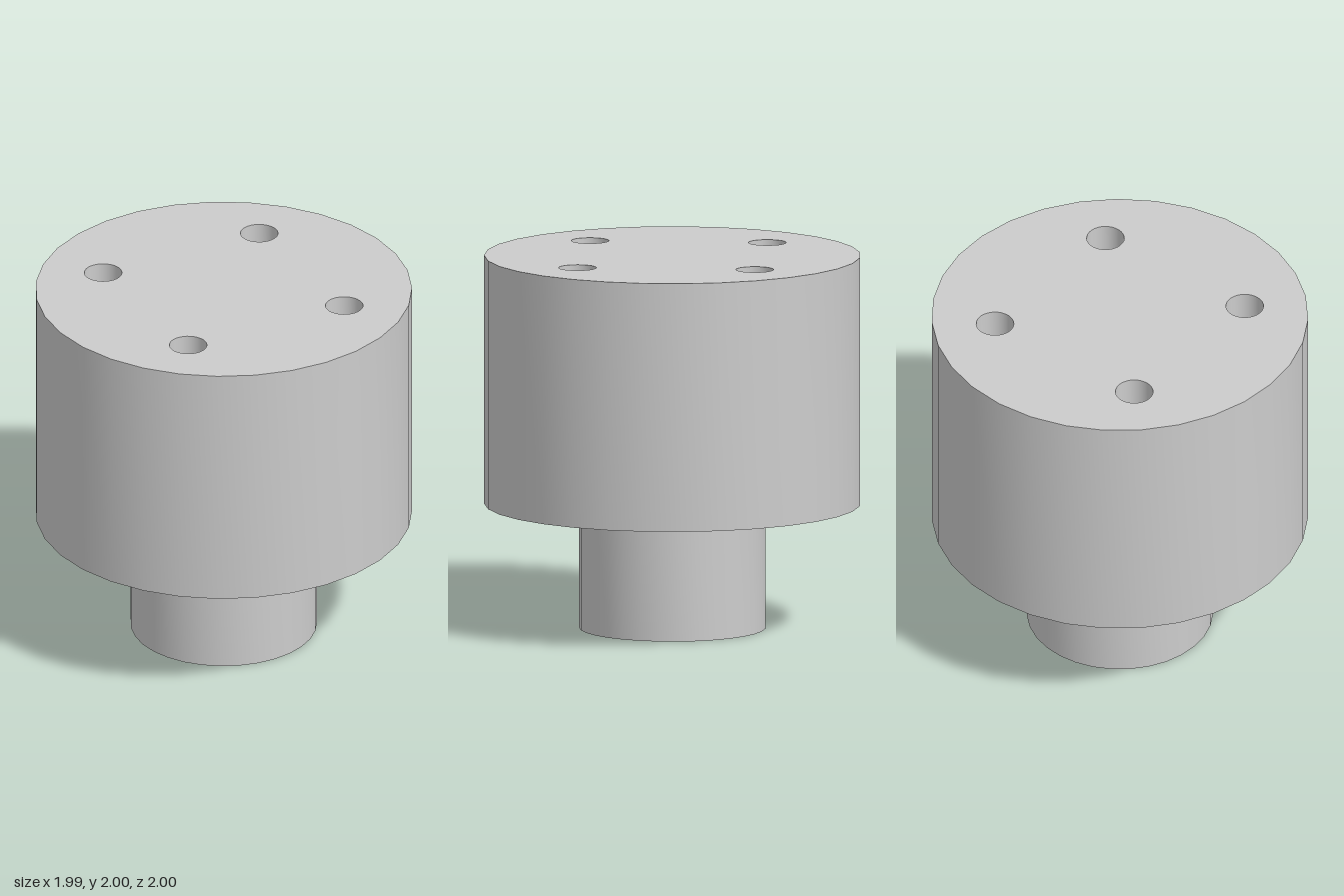
import * as THREE from 'three';
import { toCreasedNormals } from 'three/addons/utils/BufferGeometryUtils.js';

const SIDES = 31;

// Regular polygon with a corner on the -x side
function ring(radius, cx = 0, cy = 0) {
  return Array.from({ length: SIDES }, (_, i) => {
    const a = Math.PI + (i / SIDES) * Math.PI * 2;
    return new THREE.Vector2(cx + radius * Math.cos(a), cy + radius * Math.sin(a));
  });
}

// Upright prism with smooth walls and sharp rims
function prism(name, shape, bottom, top, material) {
  const extruded = new THREE.ExtrudeGeometry(shape, { depth: top - bottom, bevelEnabled: false });
  extruded.rotateX(-Math.PI / 2);
  const mesh = new THREE.Mesh(toCreasedNormals(extruded, 0.6), material);
  mesh.name = name;
  mesh.position.y = bottom;
  return mesh;
}

export function createModel() {
  const group = new THREE.Group();
  group.name = 'flangedPlug';
  const grey = new THREE.MeshStandardMaterial({ color: 0xcccccc });
  grey.name = 'lightGrey';

  // Wide body with four through holes
  const bodyShape = new THREE.Shape(ring(1));
  for (let i = 0; i < 4; i++) {
    const a = (i * Math.PI) / 2;
    bodyShape.holes.push(new THREE.Path(ring(0.1, 0.667 * Math.cos(a), 0.667 * Math.sin(a))));
  }
  group.add(prism('body', bodyShape, 0.667, 2, grey));

  // Narrow post below
  group.add(prism('post', new THREE.Shape(ring(0.495)), 0, 0.667, grey));

  return group;
}
